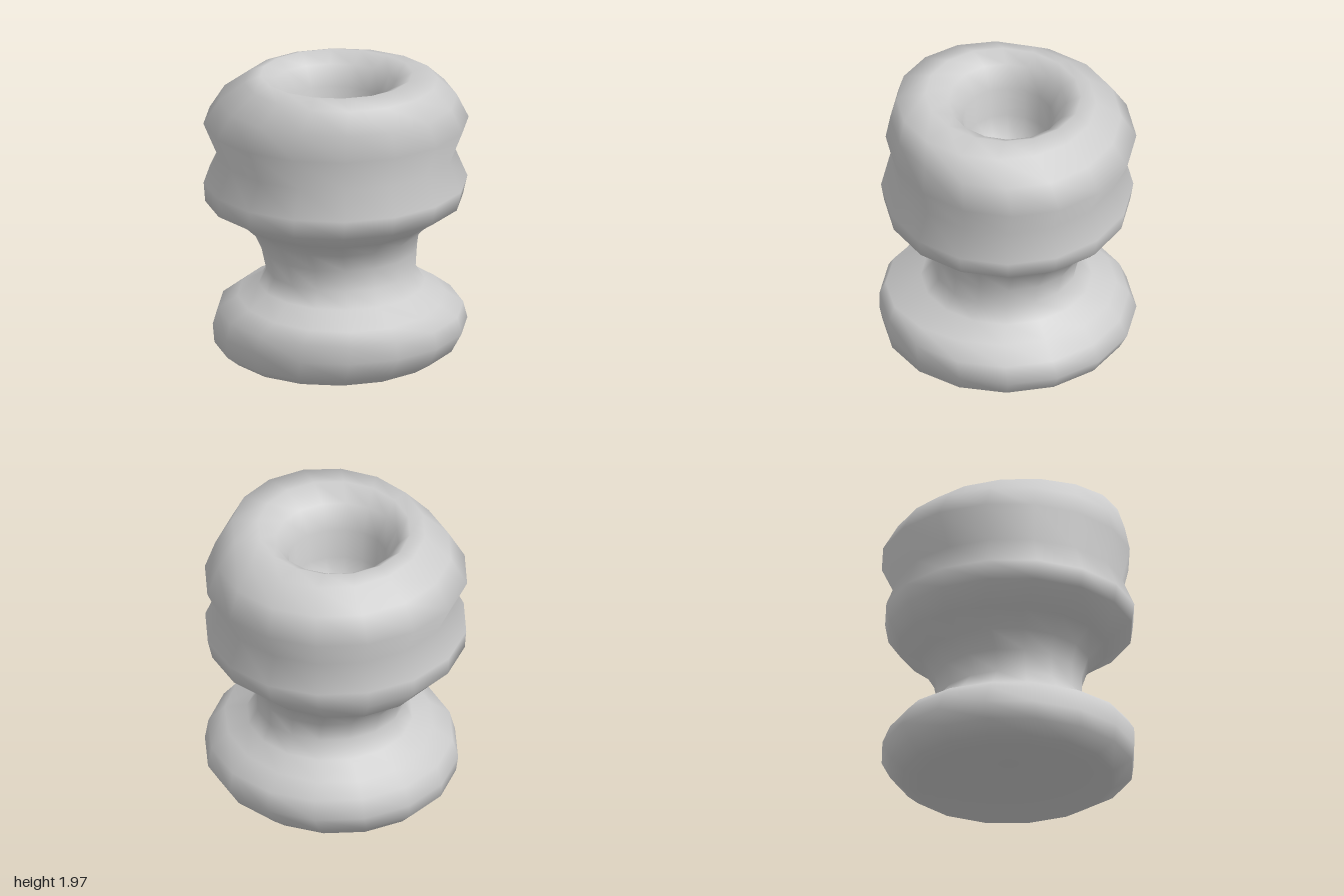
import * as THREE from 'three';
import { mergeVertices } from 'three/addons/utils/BufferGeometryUtils.js';

// Rings from the base recess, up the outside and down into the top hole:
// [height, min x, max x, min z, max z]
const RINGS = [
  [0.16, 0, 0, 0, 0], [0.14, -0.42, 0.42, -0.42, 0.42],
  [0.02, -0.62, 0.6, -0.61, 0.6], [0.04, -0.71, 0.68, -0.71, 0.69],
  [0.12, -0.8, 0.79, -0.79, 0.82], [0.24, -0.81, 0.86, -0.84, 0.84],
  [0.36, -0.78, 0.83, -0.79, 0.84], [0.45, -0.65, 0.71, -0.71, 0.8],
  [0.52, -0.51, 0.58, -0.55, 0.57], [0.62, -0.46, 0.52, -0.46, 0.49],
  [0.76, -0.49, 0.53, -0.49, 0.49], [0.88, -0.55, 0.55, -0.58, 0.53],
  [0.98, -0.66, 0.65, -0.73, 0.64], [1.1, -0.86, 0.83, -0.8, 0.81],
  [1.23, -0.87, 0.86, -0.82, 0.83], [1.42, -0.78, 0.78, -0.74, 0.75],
  [1.63, -0.87, 0.87, -0.84, 0.8], [1.8, -0.77, 0.79, -0.74, 0.77],
  [1.94, -0.61, 0.66, -0.58, 0.73], [1.97, -0.5, 0.5, -0.48, 0.54],
  [1.9, -0.42, 0.39, -0.38, 0.39], [1.76, -0.34, 0.31, -0.3, 0.3],
  [1.55, -0.33, 0.3, -0.29, 0.29], [1.36, -0.25, 0.22, -0.22, 0.22],
  [1.29, 0, 0, 0, 0],
];

export function createModel() {
  const group = new THREE.Group();
  const profile = RINGS.map(([y]) => new THREE.Vector2(1, y));
  let geometry = new THREE.LatheGeometry(profile, 16);

  // Fit each unit ring to its own extents; the upper rim rises to the front
  const pos = geometry.attributes.position;
  for (let i = 0; i < pos.count; i++) {
    const [y, x0, x1, z0, z1] = RINGS[i % RINGS.length];
    const x = (x0 + x1) / 2 + (pos.getX(i) * (x1 - x0)) / 2;
    const z = (z0 + z1) / 2 + (pos.getZ(i) * (z1 - z0)) / 2;
    pos.setXYZ(i, x, y > 1.85 ? y + 0.03 * z : y, z);
  }

  // Weld the seam and poles so the shading stays smooth all round
  geometry.deleteAttribute('uv');
  geometry.deleteAttribute('normal');
  geometry = mergeVertices(geometry, 1e-4);
  geometry.computeVertexNormals();

  const body = new THREE.Mesh(
    geometry,
    new THREE.MeshStandardMaterial({ color: 0xcccccc, side: THREE.DoubleSide })
  );
  body.name = 'hollowSpoolBody';
  group.add(body);
  return group;
}
